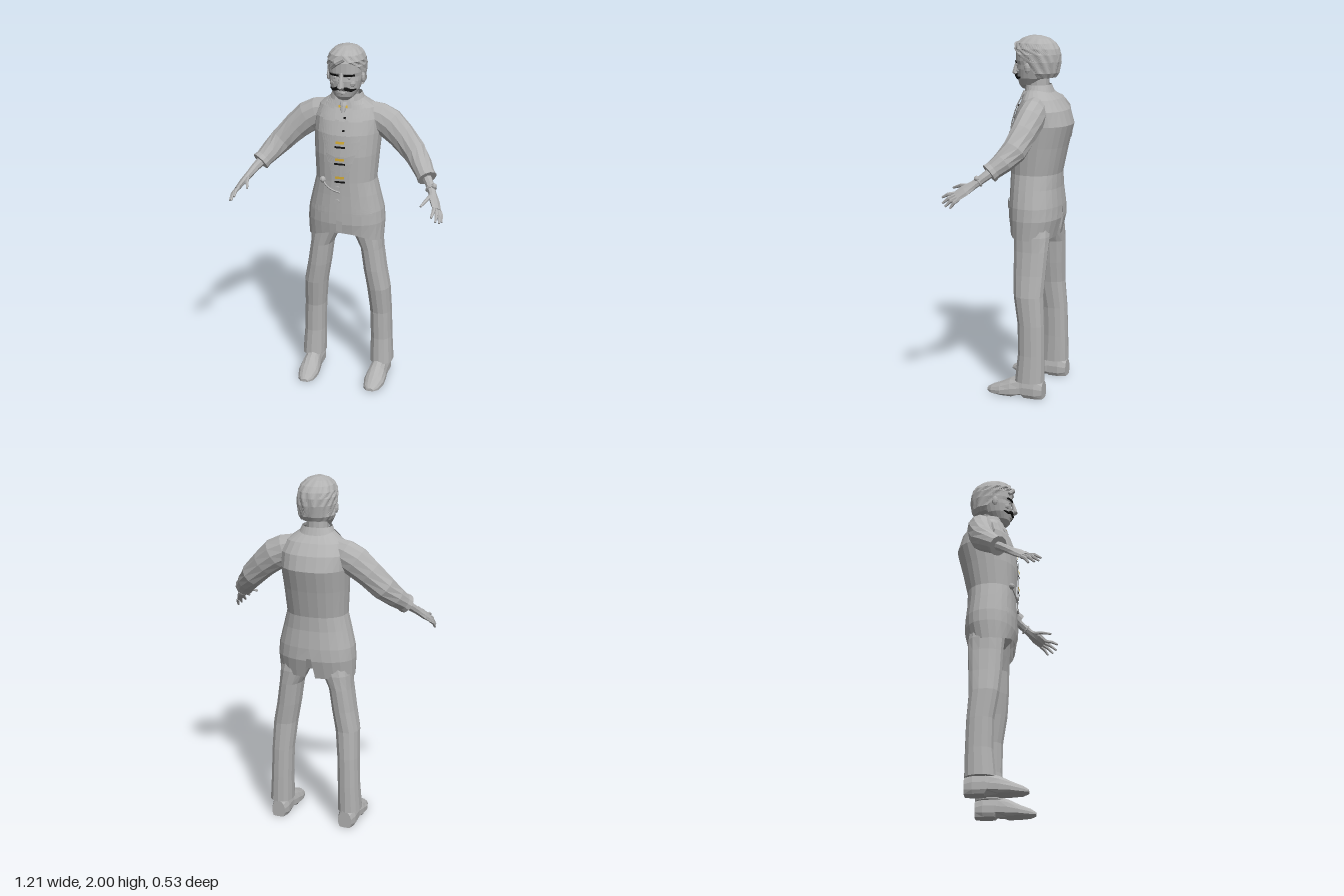
import * as THREE from 'three';

const material = (name, color) =>
  Object.assign(new THREE.MeshStandardMaterial({ color, flatShading: true, side: THREE.DoubleSide }), { name });
const V = (x, y, z) => new THREE.Vector3(x, y, z);

// Skin a list of equally long point rows, with optional end caps
function skin(rows, caps = false) {
  const pos = [], idx = [], w = rows[0].length;
  rows.forEach(r => r.forEach(p => pos.push(p.x, p.y, p.z)));
  for (let j = 0; j < rows.length - 1; j++) for (let i = 0; i < w - 1; i++) {
    const a = j * w + i, b = a + w;
    idx.push(a, a + 1, b + 1, a, b + 1, b);
  }
  if (caps) [0, rows.length - 1].forEach(j => {
    const c = V(0, 0, 0), k = pos.length / 3;
    rows[j].slice(1).forEach(p => c.addScaledVector(p, 1 / (w - 1)));
    pos.push(c.x, c.y, c.z);
    for (let i = 0; i < w - 1; i++) {
      const a = j * w + i;
      if (j) idx.push(a, a + 1, k); else idx.push(a + 1, a, k);
    }
  });
  const g = new THREE.BufferGeometry();
  g.setAttribute('position', new THREE.Float32BufferAttribute(pos, 3));
  g.setIndex(idx);
  g.computeVertexNormals();
  return g;
}

// Loft level rings: [y, halfWidth, frontZ, backZ, centreX, gapAngle]; the gap faces front, or back if flipped
const P = 0.88;
const pw = v => Math.sign(v) * Math.abs(v) ** P;
function loft(sec, { n = 24, flip = 1, wave = 0, caps = false } = {}) {
  return skin(sec.map(([y, rx, zf, zb, cx = 0, gap = 0]) => Array.from({ length: n + 1 }, (_, i) => {
    const a = gap + (2 * Math.PI - 2 * gap) * i / n;
    const k = flip * (1 + wave * Math.sin(a * 14 + Math.sin(y * 40) * 1.5));
    return V(cx + k * rx * pw(Math.sin(a)), y, (zf + zb) / 2 + k * (zf - zb) / 2 * pw(Math.cos(a)));
  })), caps);
}

// Tube through [x, y, z, radius along hint, radius across]
function tube(sec, n = 10, hint = V(0, 1, 0)) {
  const c = sec.map(s => V(s[0], s[1], s[2]));
  return skin(sec.map(([, , , r, r2 = r], j) => {
    const d = c[Math.min(j + 1, c.length - 1)].clone().sub(c[Math.max(j - 1, 0)]).normalize();
    const v = hint.clone().addScaledVector(d, -hint.dot(d)).normalize(), u = d.clone().cross(v);
    return Array.from({ length: n + 1 }, (_, i) => {
      const a = 2 * Math.PI * i / n;
      return c[j].clone().addScaledVector(v, r * Math.cos(a)).addScaledVector(u, r2 * Math.sin(a));
    });
  }), true);
}

// Front z of a lofted body at (x, y)
function frontZ(sec, x, y) {
  let j = 0;
  while (j < sec.length - 2 && sec[j + 1][0] < y) j++;
  const t = THREE.MathUtils.clamp((y - sec[j][0]) / (sec[j + 1][0] - sec[j][0]), 0, 1);
  const [rx, zf, zb] = [1, 2, 3].map(k => THREE.MathUtils.lerp(sec[j][k], sec[j + 1][k], t));
  const s = Math.min(1, Math.abs(x) / rx) ** (1 / P);
  return (zf + zb) / 2 + (zf - zb) / 2 * Math.sqrt(1 - s * s) ** P;
}

// Thin cloth strip between two edge lines, laid on the front of a lofted body
function strip(sec, a, b, off = 0.006) {
  const at = (l, t) => {
    const i = Math.min(Math.floor(t), l.length - 2), f = t - i;
    return [0, 1].map(k => THREE.MathUtils.lerp(l[i][k], l[i + 1][k], f));
  };
  const rows = [];
  for (let j = 0; j <= (a.length - 1) * 4; j++) {
    const p = at(a, j / 4), q = at(b, j / 4);
    rows.push(Array.from({ length: 6 }, (_, i) => {
      const x = THREE.MathUtils.lerp(p[0], q[0], i / 5), y = THREE.MathUtils.lerp(p[1], q[1], i / 5);
      return V(x, y, frontZ(sec, x, y) + off);
    }));
  }
  return skin(rows);
}
const patch = (sec, x0, x1, y0, y1, off) => strip(sec, [[x0, y0], [x0, y1]], [[x1, y0], [x1, y1]], off);

function mirrored(g) {
  const m = g.clone().scale(-1, 1, 1), ix = m.index.array;
  for (let i = 0; i < ix.length; i += 3) [ix[i], ix[i + 1]] = [ix[i + 1], ix[i]];
  m.computeVertexNormals();
  return m;
}

export function createModel() {
  const model = new THREE.Group();
  const grey = material('grey', 0xb2b2b2), black = material('black', 0x111111), yellow = material('yellow', 0xd9b036);
  const add = (name, geo, mat = grey) => {
    const m = new THREE.Mesh(geo, mat);
    m.name = name;
    model.add(m);
    return m;
  };
  const both = (name, geo, mat) => { add(name + 'Left', geo, mat); add(name + 'Right', mirrored(geo), mat); };

  // Jacket with a back vent and a hem that rises at the front
  const torso = [
    [0.9, 0.215, 0.06, -0.195, 0, 0.1], [1.0, 0.22, 0.07, -0.22, 0, 0.05], [1.07, 0.214, 0.07, -0.218],
    [1.17, 0.19, 0.068, -0.208], [1.25, 0.17, 0.068, -0.208], [1.4, 0.18, 0.07, -0.24], [1.52, 0.188, 0.058, -0.27],
    [1.6, 0.185, 0.032, -0.245], [1.66, 0.16, 0.0, -0.2], [1.7, 0.105, -0.012, -0.155], [1.725, 0.075, -0.02, -0.135],
  ];
  const coat = loft(torso, { flip: -1 }), cp = coat.attributes.position;
  for (let i = 0; i < cp.count; i++) {
    const front = Math.max(0, (cp.getZ(i) + 0.07) / 0.13);
    if (cp.getY(i) < 0.92) cp.setY(i, 0.895 + 0.05 * front ** 4);
  }
  add('jacket', coat);
  both('lapel', strip(torso,
    [[0.002, 1.22], [0.025, 1.4], [0.034, 1.56], [0.048, 1.7]],
    [[0.02, 1.22], [0.085, 1.42], [0.12, 1.56], [0.088, 1.7]], 0.009));
  both('collarFlap', strip(torso, [[0.06, 1.61], [0.045, 1.7]], [[0.135, 1.625], [0.095, 1.705]], 0.013));
  add('collar', loft([[1.685, 0.105, -0.005, -0.165, 0, 0.5], [1.735, 0.082, -0.01, -0.145, 0, 0.6]]));
  both('hipPocket', patch(torso, 0.07, 0.175, 1.06, 1.1, 0.008));
  add('chestPocket', patch(torso, 0.03, 0.14, 1.45, 1.475, 0.015));
  add('jacketEdge', strip(torso, [[-0.025, 0.96], [-0.02, 1.23]], [[0.012, 0.95], [0.012, 1.23]], 0.007));
  [1.14, 1.22].forEach(y => {
    const b = add('jacketButton', new THREE.CylinderGeometry(0.014, 0.014, 0.01, 10));
    b.rotation.x = Math.PI / 2;
    b.position.set(-0.015, y, frontZ(torso, 0, y) + 0.01);
  });

  // Tie, waistcoat fastenings and chain
  add('tie', strip(torso, [[-0.012, 1.49], [-0.024, 1.53], [-0.01, 1.66]], [[0.012, 1.49], [0.024, 1.53], [0.01, 1.66]], 0.006));
  add('tieKnot', tube([[0, 1.64, 0.016, 0.01, 0.01], [0, 1.675, 0.002, 0.014, 0.022], [0, 1.695, -0.004, 0.01, 0.018]], 8, V(0, 0, 1)));
  [1.285, 1.39, 1.485, 1.672].forEach(y => {
    add('brassClasp', patch(torso, -0.025, 0.025, y - 0.007, y + 0.007, 0.016), yellow);
    if (y < 1.6) add('darkBand', patch(torso, -0.03, 0.03, y - 0.031, y - 0.02, 0.015), black);
  });
  [1.55, 1.615].forEach(y => add('shirtStud', patch(torso, 0.009, 0.022, y - 0.005, y + 0.005, 0.012), black));
  const chain = [[-0.105, 1.255], [-0.08, 1.225], [-0.04, 1.205], [0, 1.195]].map(([x, y]) => V(x, y, frontZ(torso, x, y) + 0.008));
  add('watchChain', new THREE.TubeGeometry(new THREE.CatmullRomCurve3(chain), 14, 0.005, 5));
  add('chainFob', new THREE.SphereGeometry(0.018, 8, 6)).position.copy(chain[0]);

  // Sleeves, hands and fingers
  both('sleeve', tube([
    [0.1, 1.615, -0.1, 0.07, 0.06], [0.17, 1.592, -0.108, 0.084, 0.072], [0.23, 1.56, -0.11, 0.087, 0.075],
    [0.3, 1.5, -0.1, 0.078, 0.07], [0.38, 1.42, -0.078, 0.07, 0.066], [0.43, 1.365, -0.035, 0.058, 0.06],
    [0.462, 1.328, 0.005, 0.05, 0.052], [0.477, 1.312, 0.023, 0.054, 0.055],
  ], 12));
  const spread = V(-0.5, 0.45, 0.7);
  both('palm', tube([
    [0.46, 1.33, 0.0, 0.028], [0.497, 1.288, 0.05, 0.024], [0.522, 1.255, 0.092, 0.024, 0.02],
    [0.545, 1.225, 0.135, 0.037, 0.018], [0.566, 1.195, 0.175, 0.034, 0.013],
  ], 8, spread));
  [[0.552, 1.207, 0.19, 0.552, 1.182, 0.26], [0.561, 1.199, 0.18, 0.574, 1.155, 0.25],
    [0.57, 1.191, 0.168, 0.59, 1.142, 0.228], [0.578, 1.183, 0.157, 0.597, 1.135, 0.197],
    [0.52, 1.25, 0.115, 0.487, 1.225, 0.225]].forEach(([x, y, z, a, b, c], i) => {
    both(i < 4 ? 'finger' : 'thumb', tube([[x, y, z, 0.011],
      [(x + a) / 2 + 0.004, (y + b) / 2 + 0.007, (z + c) / 2, 0.01], [a, b, c, 0.006]], 6));
  });
  const watch = add('wristWatch', new THREE.TorusGeometry(0.026, 0.006, 6, 12));
  watch.position.set(0.51, 1.271, 0.07);
  watch.lookAt(0.535, 1.24, 0.112);
  add('watchFace', new THREE.SphereGeometry(0.015, 8, 6)).position.set(0.527, 1.291, 0.074);

  // Trousers
  add('trouserSeat', loft([[0.94, 0.13, 0.0, -0.17], [1.0, 0.19, 0.04, -0.19], [1.15, 0.17, 0.04, -0.18]], { n: 16, caps: true }));
  both('trouserLeg', loft([
    [0.095, 0.067, -0.02, -0.187, 0.207], [0.25, 0.062, -0.035, -0.186, 0.202], [0.42, 0.062, -0.032, -0.182, 0.197],
    [0.58, 0.067, -0.005, -0.172, 0.186], [0.7, 0.066, 0.005, -0.178, 0.165], [0.83, 0.065, 0.01, -0.185, 0.147],
    [0.91, 0.082, 0.015, -0.188, 0.125], [0.99, 0.095, 0.02, -0.18, 0.1],
  ], { n: 14, caps: true }));

  // Shoes with flat soles and a raised arch
  const shoe = tube([
    [0.203, 0.04, -0.185, 0.06, 0.04], [0.203, 0.04, -0.14, 0.09, 0.052], [0.203, 0.04, -0.075, 0.09, 0.05],
    [0.202, 0.035, -0.06, 0.088, 0.05], [0.201, 0.03, 0.0, 0.07, 0.058], [0.2, 0.02, 0.06, 0.048, 0.06],
    [0.198, 0.012, 0.12, 0.032, 0.045], [0.198, 0.012, 0.15, 0.014, 0.022],
  ], 14);
  const sp = shoe.attributes.position;
  for (let i = 0; i < sp.count; i++) {
    const z = sp.getZ(i);
    sp.setY(i, Math.max(sp.getY(i), z > -0.07 && z < -0.03 ? 0.022 : z > 0.14 ? 0.008 : 0));
  }
  both('shoe', shoe);

  // Neck, head and face
  add('neck', loft([[1.66, 0.062, -0.01, -0.135], [1.8, 0.06, -0.01, -0.135]], { n: 14 }));
  const head = [
    [1.71, 0.03, 0.014, -0.04], [1.732, 0.058, 0.032, -0.09], [1.77, 0.08, 0.04, -0.125], [1.82, 0.091, 0.044, -0.145],
    [1.845, 0.093, 0.04, -0.15], [1.865, 0.094, 0.049, -0.155], [1.92, 0.093, 0.048, -0.16], [1.965, 0.078, 0.025, -0.145],
  ];
  add('head', loft(head, { caps: true }));
  add('nose', tube([[0, 1.782, 0.045, 0.01, 0.018], [0, 1.795, 0.063, 0.016, 0.019],
    [0, 1.83, 0.056, 0.011, 0.012], [0, 1.868, 0.044, 0.008, 0.009]], 8, V(0, 0, 1)));
  add('lowerLip', tube([[-0.028, 1.757, 0.028, 0.006], [0, 1.757, 0.04, 0.008], [0.028, 1.757, 0.028, 0.006]], 6));
  both('cheek', new THREE.SphereGeometry(0.022, 8, 6).translate(0.05, 1.808, 0.012));
  both('eye', new THREE.SphereGeometry(0.012, 8, 6).translate(0.038, 1.84, 0.028));
  both('eyebrow', patch(head, 0.014, 0.07, 1.85, 1.862, 0.007), black);
  both('moustache', tube([[0, 1.782, 0.048, 0.008], [0.025, 1.782, 0.044, 0.01], [0.05, 1.77, 0.027, 0.008], [0.07, 1.775, 0.004, 0.004]], 6), black);
  both('ear', new THREE.SphereGeometry(1, 8, 6).scale(0.012, 0.03, 0.018).translate(0.096, 1.83, -0.045));

  // Wavy hair, open around the face
  add('hair', loft([
    [1.768, 0.06, 0.0, -0.13, 0, 1.75], [1.775, 0.085, 0.02, -0.175, 0, 1.75], [1.8, 0.1, 0.04, -0.19, 0, 1.65],
    [1.86, 0.104, 0.048, -0.2, 0, 1.25], [1.9, 0.105, 0.055, -0.198, 0, 0.85], [1.93, 0.101, 0.058, -0.19, 0, 0.3],
    [1.96, 0.088, 0.044, -0.17], [1.985, 0.062, 0.012, -0.138], [2.0, 0.02, -0.03, -0.09],
  ], { n: 72, wave: 0.022, caps: false }));
  add('hairCrown', tube([[0, 1.99, -0.06, 0.055, 0.045], [0, 2.0, -0.06, 0.032, 0.022]], 10, V(0, 0, 1)));
  add('forelock', tube([[0.01, 1.95, 0.045, 0.018], [-0.03, 1.925, 0.05, 0.018], [-0.06, 1.89, 0.035, 0.01]], 8));
  return model;
}
